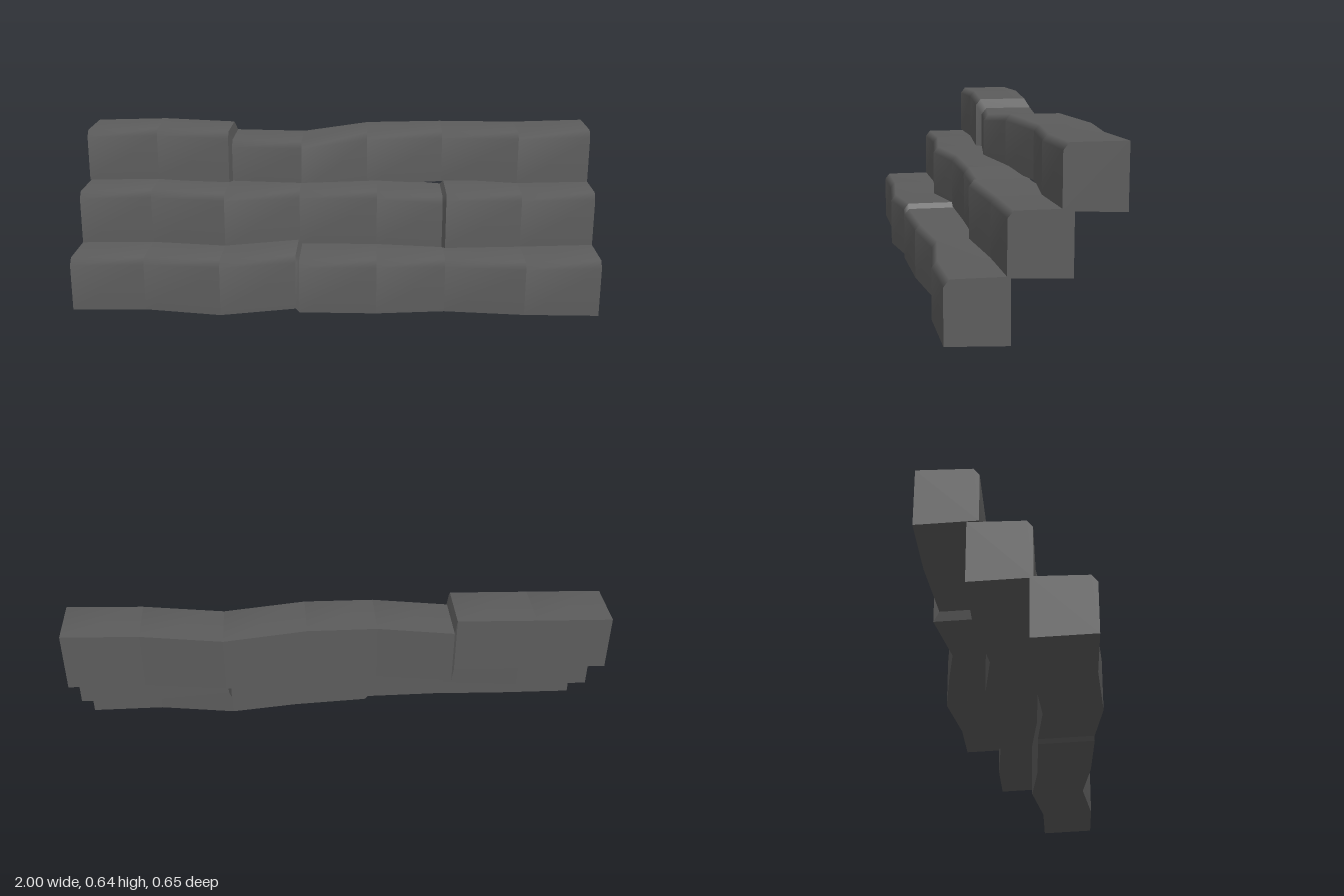
import * as THREE from 'three';

const DEPTH = 0.213;

// Each step: stations along x as [x, front z, bottom y, top y]; a close pair is the joint of two stones
const STEPS = [
  { name: 'lowerStep', stations: [
    [-1, 0.3, 0.005, 0.22], [-0.72, 0.3, 0.01, 0.225], [-0.43, 0.325, 0, 0.225], [-0.145, 0.3, 0.02, 0.24],
    [-0.132, 0.3, 0.005, 0.22], [0.16, 0.29, 0, 0.22], [0.42, 0.26, 0, 0.215],
    [0.72, 0.3, 0.005, 0.22], [1, 0.3, 0.005, 0.23]] },
  { name: 'middleStep', stations: [
    [-1, 0.1, 0.205, 0.425], [-0.72, 0.1, 0.21, 0.432], [-0.43, 0.138, 0.205, 0.43], [-0.14, 0.1, 0.215, 0.435],
    [0.16, 0.1, 0.215, 0.435], [0.415, 0.1, 0.205, 0.415],
    [0.427, 0.125, 0.21, 0.435], [0.72, 0.1, 0.21, 0.43], [1, 0.1, 0.215, 0.438]] },
  { name: 'upperStep', stations: [
    [-1, -0.073, 0.42, 0.632], [-0.72, -0.073, 0.425, 0.64], [-0.432, -0.05, 0.415, 0.633],
    [-0.42, -0.073, 0.38, 0.595], [-0.14, -0.03, 0.38, 0.6], [0.12, -0.07, 0.41, 0.63],
    [0.42, -0.113, 0.415, 0.628], [0.72, -0.073, 0.415, 0.635], [1, -0.073, 0.42, 0.645]] },
];

// Cross-section with a chamfered front top edge
function section([x, front, bottom, top]) {
  const back = front - DEPTH;
  return [
    [x, bottom + 0.01, front],
    [x, top - 0.025, front],
    [x, top, front - 0.02],
    [x, top, back],
    [x, bottom, back],
  ];
}

// Front, chamfer and top share soft normals; back and underside meet them at sharp edges
const STRIPS = [[0, 1, 2, 3], [3, 4], [4, 0]];

function stepGeometry(stations) {
  const rings = stations.map(section);
  const points = [];
  const index = [];
  const add = (list) => {
    const start = points.length / 3;
    points.push(...list.flat());
    return start;
  };
  // Walls, faceted along the length
  for (let i = 0; i < rings.length - 1; i++) {
    for (const strip of STRIPS) {
      const a = add(strip.map((j) => rings[i][j]));
      const b = add(strip.map((j) => rings[i + 1][j]));
      for (let j = 0; j < strip.length - 1; j++) {
        index.push(a + j, b + j, b + j + 1, a + j, b + j + 1, a + j + 1);
      }
    }
  }
  // End caps
  const first = add(rings[0]);
  const last = add(rings[rings.length - 1]);
  for (let j = 1; j < rings[0].length - 1; j++) {
    index.push(first, first + j, first + j + 1);
    index.push(last, last + j + 1, last + j);
  }
  const geometry = new THREE.BufferGeometry();
  geometry.setAttribute('position', new THREE.Float32BufferAttribute(points, 3));
  geometry.setIndex(index);
  geometry.computeVertexNormals();
  return geometry;
}

export function createModel() {
  const group = new THREE.Group();
  group.name = 'stoneSteps';
  const stone = new THREE.MeshStandardMaterial({ color: 0x5c5c5c });
  for (const { name, stations } of STEPS) {
    const mesh = new THREE.Mesh(stepGeometry(stations), stone);
    mesh.name = name;
    group.add(mesh);
  }
  return group;
}
